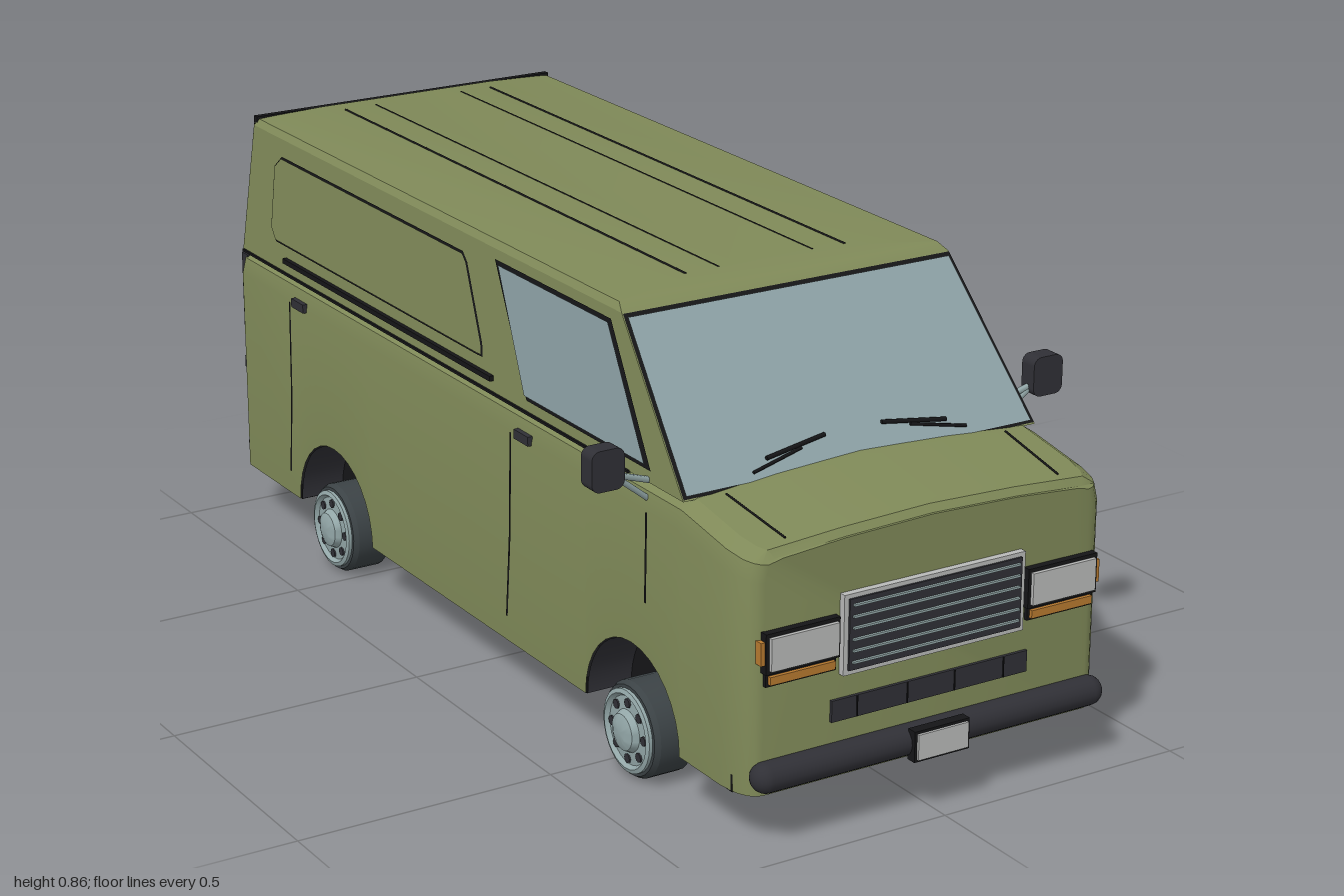
import * as THREE from 'three';
import { toCreasedNormals } from 'three/addons/utils/BufferGeometryUtils.js';

const mat = (name, color, side = THREE.FrontSide) => {
  const m = new THREE.MeshStandardMaterial({ color, side });
  m.name = name;
  return m;
};

export function createModel() {
  const D = THREE.DoubleSide;
  const paint = mat('olive paint', 0x7f8958, D), glass = mat('glass', 0x8ca1a5, D);
  const trim = mat('dark trim', 0x303036, D), black = mat('black', 0x151517, D);
  const tyre = mat('tyre rubber', 0x3b4245), metal = mat('metal', 0x93a7a8, D);
  const lamp = mat('pale lamp', 0xb9bab9), amber = mat('amber', 0xb87a30), red = mat('red', 0xa03030);

  const van = new THREE.Group();
  van.name = 'van';
  const add = (name, geo, m, parent = van) => {
    const mesh = new THREE.Mesh(geo, m);
    mesh.name = name;
    parent.add(mesh);
    return mesh;
  };
  // box given by its limits on each axis
  const box = (name, m, x0, x1, y0, y1, z0, z1, parent) => {
    const b = add(name, new THREE.BoxGeometry(Math.abs(x1 - x0), y1 - y0, Math.abs(z1 - z0)), m, parent);
    b.position.set((x0 + x1) / 2, (y0 + y1) / 2, (z0 + z1) / 2);
    return b;
  };
  // thin round bar between two points
  const bar = (name, m, a, b, r) => {
    const p = new THREE.Vector3(...a), q = new THREE.Vector3(...b), d = q.clone().sub(p);
    const mesh = add(name, new THREE.CylinderGeometry(r, r, d.length(), 6), m);
    mesh.position.copy(p).add(q).multiplyScalar(0.5);
    mesh.quaternion.setFromUnitVectors(new THREE.Vector3(0, 1, 0), d.normalize());
    return mesh;
  };
  // flat outline laid on a surface by a mapping rule
  const plate = (name, m, pts, map) => {
    const g = new THREE.ShapeGeometry(new THREE.Shape(pts.map(p => new THREE.Vector2(...p))));
    const pos = g.attributes.position;
    for (let i = 0; i < pos.count; i++) pos.setXYZ(i, ...map(pos.getX(i), pos.getY(i)));
    g.computeVertexNormals();
    return add(name, g, m);
  };
  // skin over a row of cross-sections, capped at both ends
  const loft = (sections, crease) => {
    const n = sections[0].length, idx = [], last = (sections.length - 1) * n;
    for (let i = 0; i < sections.length - 1; i++) for (let j = 0; j < n - 1; j++) {
      const a = i * n + j, c = a + n;
      idx.push(a, c, a + 1, a + 1, c, c + 1);
    }
    for (let k = 1; k < n - 1; k++) idx.push(0, k, k + 1, last, last + k + 1, last + k);
    const g = new THREE.BufferGeometry();
    g.setAttribute('position', new THREE.Float32BufferAttribute(sections.flat(2), 3));
    g.setIndex(idx);
    return toCreasedNormals(g, crease);
  };

  // lower body: sections along z, the lower edge follows the wheel arches
  const axles = [0.58, -0.56], archR = 0.158;
  const bottom = z => {
    let y = 0.1;
    for (const c of axles) if (Math.abs(z - c) < archR) y = 0.1 + Math.sqrt(archR ** 2 - (z - c) ** 2);
    return y;
  };
  const top = z => (z > 0.73 ? 0.572 - (z - 0.73) * 0.16 : 0.572);
  const halfW = z => (z < 0.87 ? 0.38 : 0.342 + 0.038 * Math.sqrt(Math.max(0, 1 - ((z - 0.87) / 0.072) ** 2)));
  const stations = [0.942, 0.938, 0.928, 0.91, 0.87, 0.8, 0.745, 0, -0.73, -0.955];
  for (const c of axles) for (let i = 0; i <= 16; i++) stations.push(c + archR * Math.cos(i * Math.PI / 16));
  stations.sort((a, b) => b - a);
  add('lowerBody', loft(stations.map(z => {
    const w = halfW(z), t = top(z), b = bottom(z), drop = z > 0.935 ? 0.012 : 0;
    const half = [[w, b], [w, t - 0.05], [w - 0.008, t - 0.018], [w - 0.035, t - drop], [0.18, t + 0.01 - drop]];
    const left = half.map(([x, y]) => [x, y, z]);
    return [...left, [0, t + 0.016 - drop, z], ...half.reverse().map(([x, y]) => [-x, y, z])];
  }), 0.5), paint);

  // cabin: rings stacked upwards, ending in a slightly crowned roof
  const ring = (y, w, f, b) => [[w, y, b], [w, y, f], [-w, y, f], [-w, y, b], [w, y, b]];
  add('cabin', loft([
    ring(0.57, 0.372, 0.735, -0.965), ring(0.835, 0.347, 0.495, -0.945),
    ring(0.848, 0.338, 0.472, -0.94), ring(0.856, 0.2, 0.44, -0.93), ring(0.859, 0.06, 0.42, -0.92),
  ], 0.45), paint);
  const sideX = y => 0.372 - (y - 0.57) * 0.0943;
  const frontZ = y => 0.735 - (y - 0.57) * 0.9057;
  const backZ = y => -0.965 + (y - 0.57) * 0.0755;

  // windscreen and rear window with dark surrounds
  const trapezoid = (y0, y1, inset) => [[-1, y0], [1, y0], [1, y1], [-1, y1]].map(([s, y]) => [s * (sideX(y) - inset), y]);
  plate('windscreenSeal', black, trapezoid(0.573, 0.834, 0.001), (x, y) => [x, y, frontZ(y) + 0.002]);
  plate('windscreen', glass, trapezoid(0.578, 0.829, 0.007), (x, y) => [x, y, frontZ(y) + 0.005]);
  plate('rearWindowSeal', black, trapezoid(0.58, 0.838, 0.001).reverse(), (x, y) => [x, y, backZ(y) - 0.002]);
  plate('rearWindow', glass, trapezoid(0.588, 0.832, 0.007).reverse(), (x, y) => [x, y, backZ(y) - 0.005]);
  box('rearRoofEdge', black, -0.343, 0.343, 0.838, 0.853, -0.952, -0.938);
  for (const x of [-0.17, -0.1, 0.1, 0.17])
    bar('roofRib', black, [x, 0.857, 0.42], [x, 0.857, -0.88], 0.0025);

  for (const s of [1, -1]) {
    const onSide = off => (z, y) => [s * (sideX(y) + off), y, z];
    const onLower = (z, y) => [s * 0.382, y, z];
    // door window and pressed rear panel
    plate('doorWindowSeal', black, [[0.63, 0.592], [0.465, 0.817], [0.058, 0.817], [0.205, 0.592]], onSide(0.002));
    plate('doorWindow', glass, [[0.612, 0.6], [0.46, 0.81], [0.075, 0.81], [0.2, 0.6]], onSide(0.005));
    const panel = e => [[0.035 + e, 0.63 - e], [0.03 + e, 0.65], [-0.045 + e, 0.785], [-0.06, 0.797 + e], [-0.81, 0.797 + e],
      [-0.836 - e, 0.775], [-0.836 - e, 0.65], [-0.815, 0.629 - e], [0.02, 0.629 - e]];
    plate('sidePanelGroove', black, panel(0.004), onSide(0.002));
    plate('sidePanel', paint, panel(0), onSide(0.004));
    box('slidingRail', black, s * 0.366, s * 0.378, 0.592, 0.602, -0.77, 0.08);
    box('beltSeam', black, s * 0.366, s * 0.376, 0.567, 0.572, -0.96, 0.56);
    // door seams and handles
    const seam = (z0, y0, z1, y1) => plate('doorSeam', black,
      [[z0 + 0.003, y0], [z0 - 0.003, y0], [z1 - 0.003, y1], [z1 + 0.003, y1]], onLower);
    seam(0.632, 0.52, 0.628, 0.35);
    seam(0.162, 0.52, 0.155, 0.32);
    seam(0.155, 0.32, 0.14, 0.15);
    seam(-0.735, 0.52, -0.74, 0.32);
    seam(-0.74, 0.32, -0.755, 0.15);
    for (const z of [0.21, -0.69]) box('doorHandle', trim, s * 0.378, s * 0.388, 0.516, 0.534, z - 0.026, z + 0.026);

    // mirrors
    bar('mirrorArm', metal, [s * 0.365, 0.572, 0.62], [s * 0.45, 0.602, 0.63], 0.006);
    bar('mirrorArm', metal, [s * 0.365, 0.535, 0.62], [s * 0.45, 0.602, 0.63], 0.006);
    const r = 0.016, head = new THREE.Shape();
    head.absarc(0.0165, 0.0215, r, 0, Math.PI / 2).absarc(-0.0165, 0.0215, r, Math.PI / 2, Math.PI)
      .absarc(-0.0165, -0.0215, r, Math.PI, Math.PI * 1.5).absarc(0.0165, -0.0215, r, Math.PI * 1.5, Math.PI * 2);
    add('mirrorHead', new THREE.ExtrudeGeometry(head, { depth: 0.036, bevelEnabled: false, curveSegments: 5 }), trim)
      .position.set(s * 0.467, 0.618, 0.612);
    box('mirrorGlass', metal, s * 0.441, s * 0.493, 0.587, 0.649, 0.609, 0.613);

    // headlamps, indicators, wipers and bonnet seam
    box('headlampFrame', black, s * 0.198, s * 0.348, 0.328, 0.402, 0.93, 0.956);
    box('headlamp', lamp, s * 0.204, s * 0.341, 0.335, 0.395, 0.94, 0.963);
    box('indicatorFrame', black, s * 0.202, s * 0.344, 0.303, 0.328, 0.93, 0.95);
    box('indicator', amber, s * 0.207, s * 0.339, 0.308, 0.323, 0.94, 0.957);
    box('sideIndicator', amber, s * 0.34, s * 0.356, 0.345, 0.387, 0.93, 0.953);
    const wipe = (x, y) => [s * x, y, frontZ(y) + 0.012];
    bar('wiperBlade', black, wipe(0.06, 0.622), wipe(0.19, 0.607), 0.004);
    bar('wiperArm', black, wipe(0.115, 0.611), wipe(0.225, 0.592), 0.003);
    bar('bonnetSeam', black, [s * 0.295, 0.575, 0.75], [s * 0.285, 0.549, 0.915], 0.002);

    // rear lamps and hinges
    box('tailLampFrame', trim, s * 0.298, s * 0.37, 0.4, 0.56, -0.977, -0.95);
    box('tailLamp', red, s * 0.304, s * 0.362, 0.435, 0.552, -0.984, -0.96);
    box('reverseLamp', lamp, s * 0.304, s * 0.362, 0.408, 0.43, -0.983, -0.96);
    box('rearHinge', trim, s * 0.34, s * 0.374, 0.312, 0.336, -0.972, -0.95);

    // floor strips between the arches
    for (const [a, b] of [[0.74, 0.9], [-0.4, 0.42], [-0.952, -0.72]])
      box('floorSide', black, s * 0.27, s * 0.376, 0.098, 0.13, a, b);

    // wheels and arch liners
    for (const z of axles) {
      const liner = add('archLiner', new THREE.CylinderGeometry(0.156, 0.156, 0.1, 24, 1, true, 0, Math.PI), trim);
      liner.rotation.z = Math.PI / 2;
      liner.position.set(s * 0.327, 0.1, z);
      const wheel = new THREE.Group();
      wheel.name = 'wheel';
      wheel.position.set(s * 0.3, 0.09, z);
      wheel.rotation.z = -s * Math.PI / 2;
      van.add(wheel);
      const turn = (name, m, pts) => add(name, toCreasedNormals(
        new THREE.LatheGeometry(pts.map(p => new THREE.Vector2(...p)), 28), 0.5), m, wheel);
      turn('tyre', tyre, [[0, 0], [0.084, 0], [0.09, 0.008], [0.09, 0.074], [0.084, 0.084], [0.07, 0.085]]);
      turn('rim', metal, [[0.078, 0.083], [0.078, 0.091], [0.07, 0.094], [0.064, 0.086], [0.04, 0.088], [0.034, 0.1], [0.02, 0.106], [0, 0.106]]);
      for (let i = 0; i < 8; i++) {
        const a = i * Math.PI / 4, hole = add('rimHole', new THREE.CylinderGeometry(0.009, 0.009, 0.004, 8), trim, wheel);
        hole.position.set(0.053 * Math.cos(a), 0.088, 0.053 * Math.sin(a));
      }
    }
  }

  // thin step by the left rear wheel
  box('sideStep', metal, 0.37, 0.41, 0.084, 0.092, -0.74, -0.435);

  // floor
  box('floor', black, -0.285, 0.285, 0.098, 0.27, -0.953, 0.936);

  // grille, vent and bonnet edge
  box('grilleFrame', lamp, -0.19, 0.19, 0.29, 0.438, 0.93, 0.955);
  box('grille', trim, -0.181, 0.181, 0.299, 0.43, 0.94, 0.959);
  for (let i = 0; i < 6; i++) {
    const y = 0.312 + i * 0.021;
    box('grilleSlat', metal, -0.175, 0.175, y, y + 0.004, 0.955, 0.964);
  }
  box('lowerVent', trim, -0.207, 0.207, 0.205, 0.245, 0.935, 0.948);
  for (const x of [-0.155, -0.05, 0.05, 0.155]) box('ventDivider', black, x - 0.001, x + 0.001, 0.206, 0.244, 0.94, 0.95);

  // bumpers with rounded section, and number plates left blank
  for (const [name, z] of [['frontBumper', 0.95], ['rearBumper', -0.972]]) {
    const b = add(name, new THREE.CapsuleGeometry(0.028, 0.684, 6, 16), trim);
    b.rotation.z = Math.PI / 2;
    b.position.set(0, 0.138, z);
  }
  box('frontPlateFrame', black, -0.058, 0.058, 0.108, 0.166, 0.965, 0.985);
  box('frontPlate', lamp, -0.053, 0.053, 0.113, 0.161, 0.98, 0.99);
  box('rearPlateFrame', black, -0.065, 0.065, 0.462, 0.518, -0.968, -0.95);
  box('rearPlate', lamp, -0.058, 0.058, 0.469, 0.511, -0.973, -0.96);
  box('rearDoorSeam', black, -0.003, 0.003, 0.12, 0.572, -0.957, -0.95);
  return van;
}
